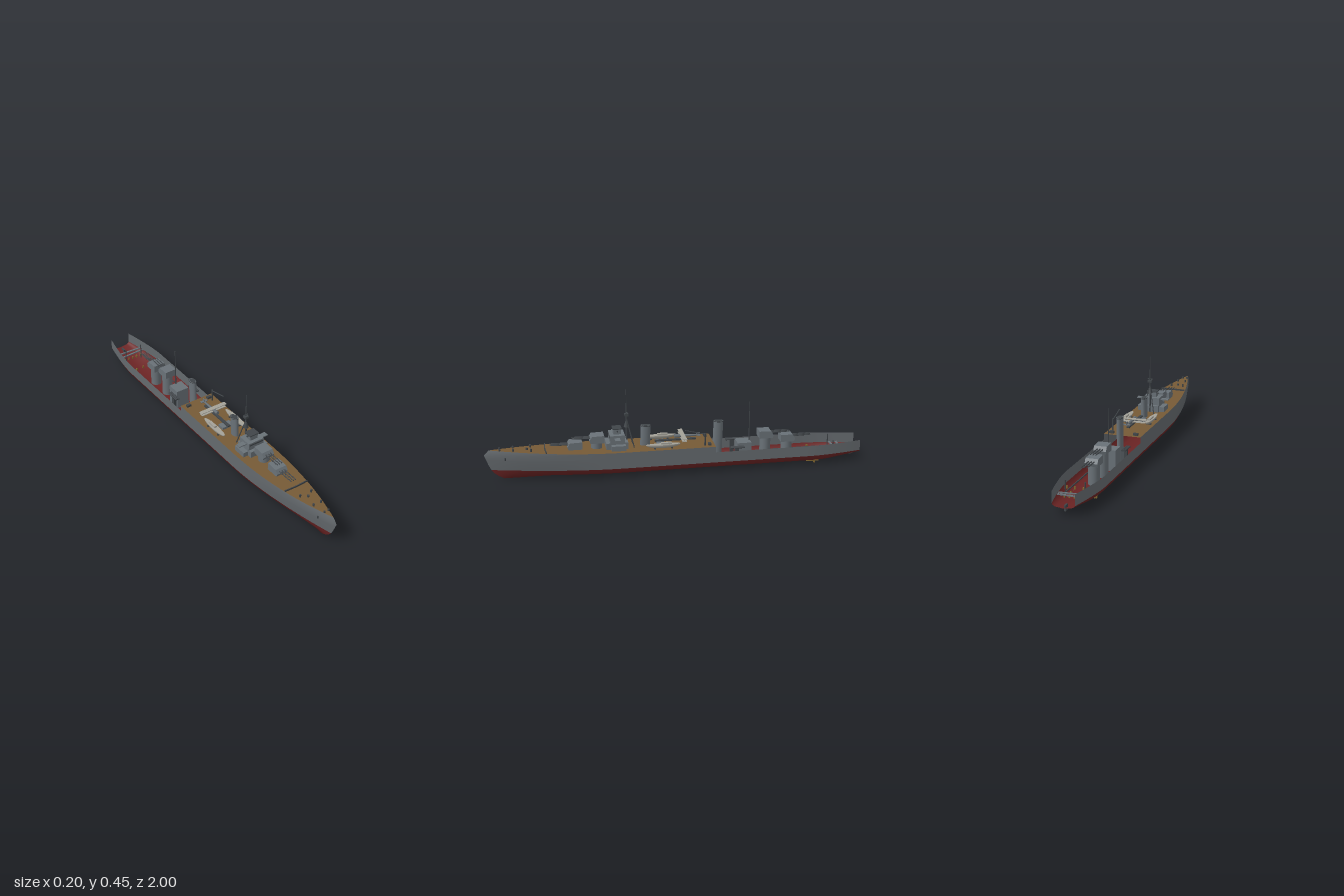
import * as THREE from 'three';

const material = (name, color, side = THREE.FrontSide) => {
  const m = new THREE.MeshStandardMaterial({ color, side });
  m.name = name;
  return m;
};

export function createModel() {
  const ship = new THREE.Group();
  ship.name = 'warship';
  const hullGrey = material('hullGrey', 0x64696d, THREE.DoubleSide);
  const red = material('antifoulingRed', 0x6c2424, THREE.DoubleSide);
  const wood = material('deckWood', 0x765a36, THREE.DoubleSide);
  const grey = material('superstructureGrey', 0x697177);
  const dark = material('darkGrey', 0x404549);
  const pale = material('paleGrey', 0xa3a198);
  const bronze = material('bronze', 0x80652f);

  // ---------- helpers ----------
  const add = (name, geo, mat, x = 0, y = 0, z = 0, parent = ship) => {
    const m = new THREE.Mesh(geo, mat);
    m.name = name;
    m.position.set(x, y, z);
    parent.add(m);
    return m;
  };
  // box given by its bottom and top heights and its z range
  const box = (name, mat, x, w, y0, y1, z0, z1, parent) =>
    add(name, new THREE.BoxGeometry(w, y1 - y0, Math.abs(z1 - z0)), mat, x, (y0 + y1) / 2, (z0 + z1) / 2, parent);
  const rod = (name, mat, a, b, r0, r1 = r0, parent = ship, sides = 8) => {
    const p = new THREE.Vector3(...a), q = new THREE.Vector3(...b);
    const d = q.clone().sub(p);
    const m = add(name, new THREE.CylinderGeometry(r1, r0, d.length(), sides), mat, 0, 0, 0, parent);
    m.position.copy(p).add(q).multiplyScalar(0.5);
    m.quaternion.setFromUnitVectors(new THREE.Vector3(0, 1, 0), d.normalize());
    return m;
  };
  const bothSides = (fn) => [-1, 1].forEach(fn);

  // ---------- hull: rows from keel to deck edge [height, stem z, breadth, bow fullness] ----------
  const STEP = -0.2, SIDE = 0.143;
  const rows = [
    [0.004, 0.9, 0, 1.5], [0.02, 0.93, 0.7, 1.5], [0.036, 0.95, 0.92, 1.6], [0.055, 0.965, 1, 1.75],
    [0.085, 0.98, 1, 1.95], [0.112, 0.99, 1, 2.05], [0.138, 1, 1, 2.1], [SIDE, 0.975, 1, 2.15],
  ];
  const hullPoint = (row, side, t, zStart) => {
    const [h, stem, breadth, power] = rows[row];
    const z = zStart + (stem - zStart) * t;
    const bow = Math.max(0, (z - 0.3) / (stem - 0.3));
    const stern = Math.max(0, (-z - 0.72) / 0.28);
    const half = 0.099 * breadth * (1 - bow ** power) * (1 - 0.42 * stern ** 1.5);
    let y = h;
    if (row < 3) y += Math.max(0, (-z - 0.8) / 0.2) * 0.032 * (0.055 - h) / 0.051;
    if (row === 7) y += 0.022 * bow ** 1.5;
    return [side * half, y, z];
  };
  const skin = (name, mat, section, zStart, steps = 56) => {
    const pos = [], index = [], n = section.length;
    for (let i = 0; i <= steps; i++)
      for (const [row, side] of section) pos.push(...hullPoint(row, side, i / steps, zStart));
    for (let i = 0; i < steps; i++)
      for (let j = 0; j < n - 1; j++) {
        const a = i * n + j, b = a + n;
        index.push(a, a + 1, b, a + 1, b + 1, b);
      }
    const g = new THREE.BufferGeometry();
    g.setAttribute('position', new THREE.Float32BufferAttribute(pos, 3));
    g.setIndex(index);
    g.computeVertexNormals();
    return add(name, g, mat);
  };
  skin('hullBottom', red, [[3, -1], [2, -1], [1, -1], [0, 1], [1, 1], [2, 1], [3, 1]], -1);
  skin('hullSideLeft', hullGrey, [[3, 1], [4, 1], [5, 1]], -1);
  skin('hullSideRight', hullGrey, [[5, -1], [4, -1], [3, -1]], -1);
  skin('forecastleSideLeft', hullGrey, [[5, 1], [6, 1], [7, 1]], STEP);
  skin('forecastleSideRight', hullGrey, [[7, -1], [6, -1], [5, -1]], STEP);
  skin('foredeck', wood, [[7, 1], [7, -1]], STEP);

  // ---------- gun turrets ----------
  const turretShape = new THREE.Shape([
    [-0.038, 0], [0.034, 0], [0.04, 0.016], [0.026, 0.038], [-0.038, 0.04],
  ].map((p) => new THREE.Vector2(...p)));
  const turretGeo = new THREE.ExtrudeGeometry(turretShape, { depth: 0.066, bevelEnabled: false });
  turretGeo.rotateY(-Math.PI / 2).translate(0.033, 0, 0);
  const turret = (name, z, y, floor, facing) => {
    const g = new THREE.Group();
    g.name = name;
    g.position.set(0, y, z);
    if (facing < 0) g.rotation.y = Math.PI;
    ship.add(g);
    add('gunhouse', turretGeo, grey, 0, 0, 0, g);
    add('barbette', new THREE.CylinderGeometry(0.029, 0.029, y - floor, 20), grey, 0, (floor - y) / 2, 0, g);
    for (const x of [-0.014, 0, 0.014]) rod('gunBarrel', dark, [x, 0.024, 0.02], [x, 0.026, 0.13], 0.0036, 0.0025, g);
  };
  turret('turretOne', 0.532, 0.149, 0.14, 1);
  turret('turretTwo', 0.417, 0.177, 0.14, 1);
  turret('turretThree', -0.487, 0.146, 0.02, -1);
  turret('turretFour', -0.605, 0.12, 0.02, -1);

  // ---------- bridge ----------
  box('bridgeBase', grey, 0, 0.15, 0.14, 0.17, 0.27, 0.345);
  box('bridgeLower', grey, 0, 0.094, 0.14, 0.178, 0.255, 0.37);
  box('bridgeUpper', grey, 0, 0.094, 0.178, 0.218, 0.272, 0.35);
  box('bridgeWing', grey, 0, 0.178, 0.201, 0.206, 0.3, 0.328);
  box('bridgeWindows', dark, 0, 0.08, 0.203, 0.211, 0.35, 0.352);
  box('directorTower', grey, 0, 0.046, 0.218, 0.245, 0.29, 0.33);
  box('directorRoof', dark, 0, 0.056, 0.245, 0.25, 0.286, 0.334);
  rod('rangefinder', dark, [-0.03, 0.235, 0.31], [0.03, 0.235, 0.31], 0.004);

  // ---------- tripod foremast and aft mast ----------
  rod('foremast', dark, [0, 0.14, 0.258], [0, 0.38, 0.258], 0.005, 0.003);
  rod('topmast', dark, [0, 0.38, 0.258], [0, 0.452, 0.258], 0.0015, 0.001);
  bothSides((s) => rod('mastLeg', dark, [s * 0.033, 0.14, 0.222], [0, 0.29, 0.256], 0.003));
  rod('mastFoot', dark, [0, 0.25, 0.258], [0, 0.282, 0.258], 0.015, 0.005);
  box('lookoutTop', dark, 0, 0.021, 0.309, 0.322, 0.248, 0.268);
  box('mastYard', dark, 0, 0.026, 0.327, 0.33, 0.255, 0.261);
  rod('aftMast', dark, [0, 0.02, -0.4], [0, 0.347, -0.4], 0.004, 0.002);

  // ---------- funnels ----------
  const funnel = (name, z, floor, top) => {
    const g = new THREE.Group();
    g.name = name;
    g.position.set(0, 0, z);
    g.scale.set(0.62, 1, 1);
    g.rotation.x = -0.04;
    ship.add(g);
    add('funnelCasing', new THREE.CylinderGeometry(0.026, 0.026, top - floor, 24), grey, 0, (top + floor) / 2, 0, g);
    add('funnelRim', new THREE.TorusGeometry(0.026, 0.0025, 6, 24).rotateX(Math.PI / 2), dark, 0, top - 0.002, 0, g);
    add('funnelMouth', new THREE.CylinderGeometry(0.022, 0.022, 0.002, 24), dark, 0, top, 0, g);
  };
  funnel('forwardFunnel', 0.167, 0.14, 0.252);
  funnel('aftFunnel', -0.222, 0.02, 0.252);

  // ---------- ship's boats ----------
  bothSides((s) => {
    const hull = new THREE.SphereGeometry(1, 16, 10, 0, Math.PI * 2, Math.PI / 2, Math.PI / 2);
    add('boatHull', hull, pale, s * 0.068, 0.164, 0.075).scale.set(0.016, 0.02, 0.092);
    const cover = add('boatCover', new THREE.CylinderGeometry(1, 1, 0.002, 16), pale, s * 0.068, 0.164, 0.075);
    cover.scale.set(0.016, 1, 0.092);
    box('boatCabin', pale, s * 0.068, 0.016, 0.164, 0.174, 0.03, 0.085);
    for (const z of [0.03, 0.12]) box('boatCradle', dark, s * 0.068, 0.028, 0.143, 0.15, z - 0.004, z + 0.004);
  });

  // ---------- catapult and floatplane ----------
  box('catapultBase', grey, 0, 0.066, 0.14, 0.156, 0.06, 0.1);
  box('catapultTrack', dark, 0, 0.016, 0.157, 0.164, -0.11, 0.11);
  rod('planeFuselage', grey, [0, 0.178, -0.13], [0, 0.18, 0.005], 0.004, 0.01);
  box('planeLowerWing', pale, 0, 0.15, 0.171, 0.174, -0.05, -0.026);
  box('planeUpperWing', pale, 0, 0.16, 0.185, 0.188, -0.05, -0.026);
  box('planeTailplane', grey, 0, 0.04, 0.178, 0.181, -0.132, -0.116);
  box('planeFin', grey, 0, 0.003, 0.178, 0.194, -0.132, -0.114);
  bothSides((s) => {
    rod('wingStrut', dark, [s * 0.055, 0.172, -0.038], [s * 0.055, 0.187, -0.038], 0.0015);
    box('deckLocker', dark, s * 0.065, 0.024, 0.143, 0.155, -0.18, -0.165);
  });

  // ---------- crane ----------
  rod('cranePost', dark, [0.069, 0.14, -0.147], [0.069, 0.212, -0.147], 0.0045);
  rod('craneJib', dark, [0.069, 0.205, -0.15], [0.069, 0.233, -0.04], 0.003);

  // ---------- after superstructure, torpedo tubes and light guns ----------
  box('aftDeckhouse', grey, 0, 0.075, 0.02, 0.13, -0.405, -0.33);
  bothSides((s) => {
    box('torpedoMount', dark, s * 0.064, 0.016, 0.04, 0.114, -0.33, -0.31);
    for (const k of [-1, 0, 1])
      rod('torpedoTube', dark, [s * 0.064 + k * 0.008, 0.119, -0.285], [s * 0.064 + k * 0.008, 0.119, -0.36], 0.0045);
    box('mineRail', dark, s * 0.065, 0.005, 0.04, 0.046, -0.86, -0.52);
    rod('lightGunStand', dark, [s * 0.05, 0.03, -0.85], [s * 0.05, 0.118, -0.85], 0.003);
  });
  // cross beams in the open stern
  box('sternBeam', grey, 0, 0.15, 0.06, 0.065, -0.875, -0.865).rotation.y = 0.05;
  box('sternBeam', grey, 0, 0.14, 0.06, 0.065, -0.905, -0.895).rotation.y = -0.05;
  for (const [z, w] of [[-0.745, 0.085], [-0.86, 0.05]])
    for (let i = -2; i <= 2; i++) box('sternFitting', bronze, (i / 2) * w, 0.007, 0.036, 0.05, z - 0.004, z + 0.004);

  // ---------- foredeck fittings ----------
  bothSides((s) => {
    const b = box('breakwater', dark, s * 0.034, 0.07, 0.145, 0.161, 0.683, 0.688);
    b.rotation.y = s * 0.05;
    for (const [x, z] of [[0.034, 0.76], [0.022, 0.85], [0.012, 0.92]])
      rod('bollard', dark, [s * x, 0.15, z], [s * x, 0.172, z], 0.005);
    // anchors against the bow plating
    rod('anchor', dark, [s * 0.027, 0.112, 0.893], [s * 0.029, 0.129, 0.893], 0.003);
  });
  rod('capstan', dark, [0, 0.145, 0.78], [0, 0.166, 0.78], 0.008, 0.006);

  // ---------- shaft struts, propellers and rudder ----------
  bothSides((s) => {
    box('shaftStrut', bronze, s * 0.065, 0.007, 0.004, 0.024, -0.75, -0.742);
    rod('propellerShaft', bronze, [s * 0.065, 0.017, -0.7], [s * 0.065, 0.014, -0.77], 0.003);
  });
  box('rudder', dark, 0, 0.008, 0.016, 0.045, -0.98, -0.952);

  return ship;
}
